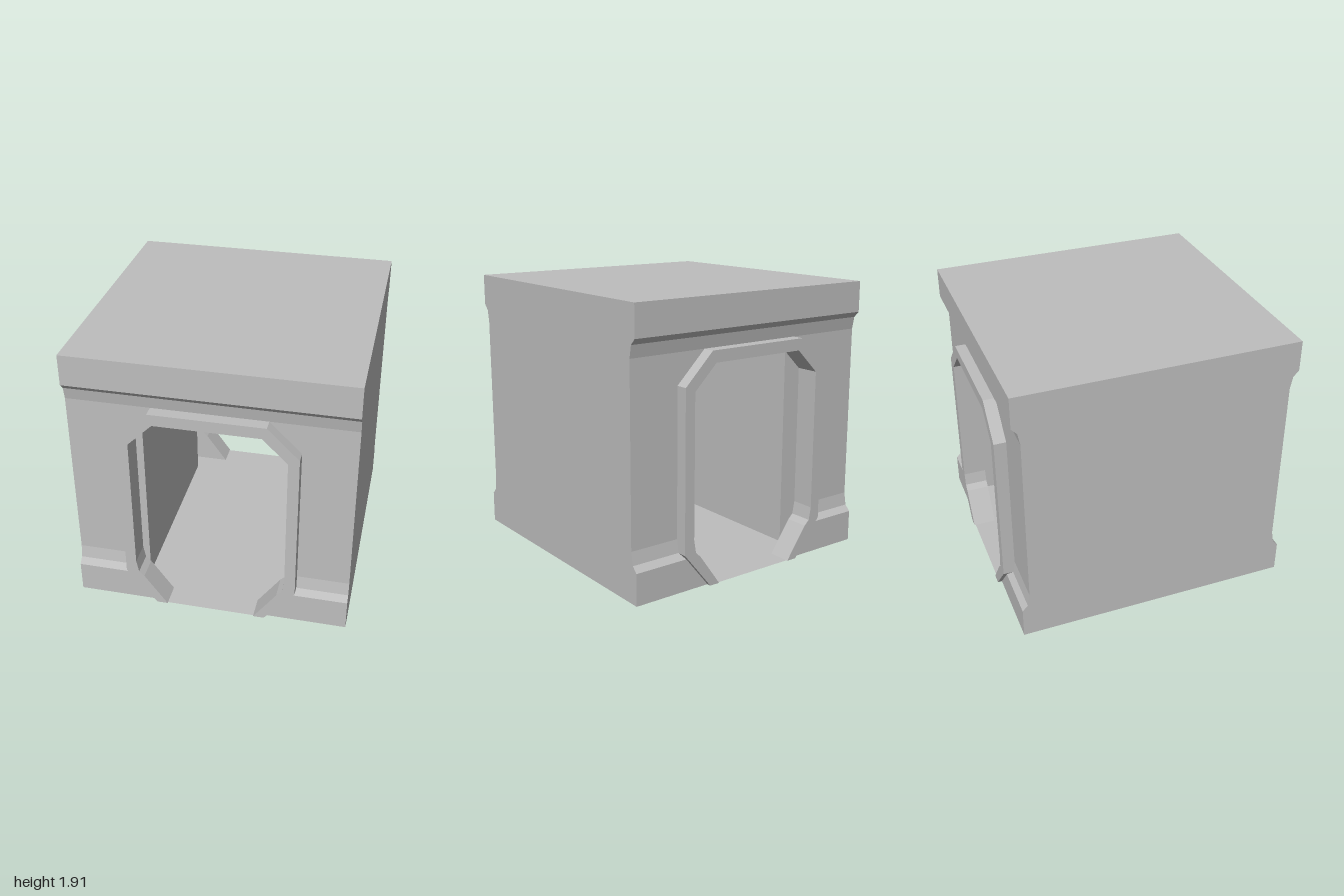
import * as THREE from 'three';

const HALF_W = 0.955, HEIGHT = 1.91, DOOR_TOP = 1.49;

// Skin a surface over rows of equally many [x, y, z] points.
function loft(rows) {
  const pos = [], idx = [], n = rows[0].length;
  rows.forEach(r => r.forEach(p => pos.push(...p)));
  for (let i = 0; i < rows.length - 1; i++) {
    for (let j = 0; j < n - 1; j++) {
      const a = i * n + j, b = a + 1, c = a + n, d = c + 1;
      idx.push(a, c, b, b, c, d);
    }
  }
  const g = new THREE.BufferGeometry();
  g.setAttribute('position', new THREE.Float32BufferAttribute(pos, 3));
  g.setIndex(idx);
  const flat = g.toNonIndexed();
  flat.computeVertexNormals();
  return flat;
}

// Mirror a right-hand half outline into a full arch at depth z.
const arch = (half, z) => [
  ...half.map(([x, y]) => [x, y, z]),
  ...half.slice().reverse().map(([x, y]) => [-x, y, z]),
];

const shapeOf = pts => new THREE.Shape(pts.map(p => new THREE.Vector2(...p)));

export function createModel() {
  const model = new THREE.Group();
  model.name = 'corridorModule';
  const grey = new THREE.MeshStandardMaterial({ color: 0xbdbdbd, side: THREE.DoubleSide });
  grey.name = 'plainGrey';

  const add = (name, geo, parent = model) => {
    const m = new THREE.Mesh(geo, grey);
    m.name = name;
    parent.add(m);
    return m;
  };

  // End wall profile as [y, z]
  const profile = [[0, 0.97], [0.22, 0.97], [0.26, 0.932], [0.35, 0.916],
    [1.36, 0.916], [1.57, 0.916], [1.655, 0.932], [1.695, 0.97], [HEIGHT, 0.97]];
  // Door frame half outlines
  const outer = [[0.385, 0], [0.563, 0.22], [0.597, 0.26], [0.597, 0.35], [0.597, 1.36], [0.385, 1.57]];
  const inner = [[0.31, 0], [0.47, 0.225], [0.507, 0.26], [0.523, 0.35], [0.523, 1.325], [0.355, DOOR_TOP]];
  const straight = x => [0, 0.22, 0.26, 0.35, 1.325, DOOR_TOP].map(y => [x, y]);
  const pocket = straight(0.765), hall = straight(0.523);

  // Both ends: wall around the doorway, frame, and door pocket
  for (const [label, turn] of [['front', 0], ['back', Math.PI]]) {
    const end = new THREE.Group();
    end.name = label + 'End';
    end.rotation.y = turn;
    model.add(end);

    for (const s of [1, -1]) {
      add('wallBesideDoor', loft(profile.slice(0, 6).map(([y, z], i) =>
        [[s * outer[i][0], y, z], [s * HALF_W, y, z]])), end);
    }
    add('wallOverDoor', loft(profile.slice(5).map(([y, z]) =>
      [[-HALF_W, y, z], [HALF_W, y, z]])), end);

    add('doorFrame', loft([arch(outer, 0.9), arch(outer, 1), arch(inner, 1), arch(inner, 0.835)]), end);
    add('doorPocket', loft([arch(inner, 0.835), arch(pocket, 0.835), arch(pocket, 0.695), arch(hall, 0.695)]), end);
  }

  // Hall walls and ceiling
  add('hallLining', loft([arch(hall, 0.695), arch(hall, -0.695)]));

  // Floor, widened where the door pockets cross it
  const edge = [[0.31, 0.99], [0.31, 0.835], [0.765, 0.835], [0.765, 0.695], [0.523, 0.695]];
  const side = [...edge, ...edge.slice().reverse().map(([x, z]) => [x, -z])];
  const floor = add('floor', new THREE.ShapeGeometry(
    shapeOf([...side, ...side.slice().reverse().map(([x, z]) => [-x, z])])));
  floor.rotation.x = -Math.PI / 2;

  // Outer side walls follow the end profile
  const sideShape = shapeOf([...profile.map(([y, z]) => [z, y]),
    ...profile.slice().reverse().map(([y, z]) => [-z, y])]);
  for (const s of [1, -1]) {
    const wall = add(s > 0 ? 'leftWall' : 'rightWall', new THREE.ShapeGeometry(sideShape));
    wall.rotation.y = s * Math.PI / 2;
    wall.position.x = s * HALF_W;
  }

  // Roof
  const roof = add('roof', new THREE.PlaneGeometry(2 * HALF_W, 1.94));
  roof.rotation.x = -Math.PI / 2;
  roof.position.y = HEIGHT;

  return model;
}
